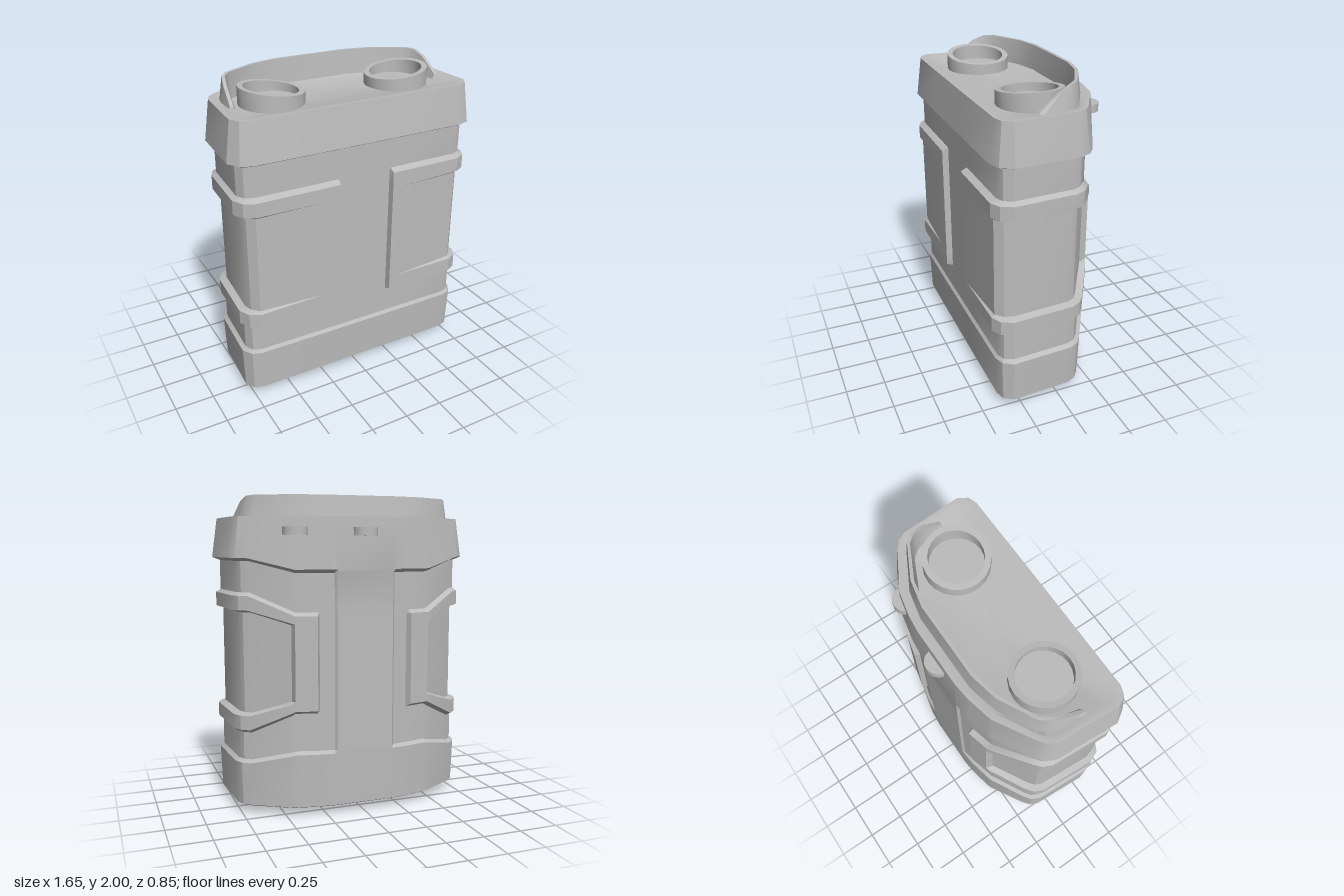
import * as THREE from 'three';
import { toCreasedNormals } from 'three/addons/utils/BufferGeometryUtils.js';

const grey = new THREE.MeshStandardMaterial({ color: 0xbcbcbc });
grey.name = 'grey';

function mesh(name, geometry, crease = 0.5) {
  const m = new THREE.Mesh(toCreasedNormals(geometry, crease), grey);
  m.name = name;
  return m;
}

// Skins rows of points; columns may wrap round, and first/last rows may be capped.
function loft(rows, wrap, capCentres) {
  const n = rows[0].length, pos = rows.flat(2), index = [];
  for (let j = 0; j < rows.length - 1; j++) {
    for (let i = 0; i < (wrap ? n : n - 1); i++) {
      const k = (i + 1) % n;
      const a = j * n + i, b = j * n + k, c = b + n, d = a + n;
      index.push(a, b, c, a, c, d);
    }
  }
  if (capCentres) {
    const base = pos.length / 3, last = (rows.length - 1) * n;
    pos.push(...capCentres[0], ...capCentres[1]);
    for (let i = 0; i < n; i++) {
      const k = (i + 1) % n;
      index.push(base, k, i, base + 1, last + i, last + k);
    }
  }
  const g = new THREE.BufferGeometry();
  g.setAttribute('position', new THREE.Float32BufferAttribute(pos, 3));
  g.setIndex(index);
  return g;
}

// Half plan from front to back: x, z, bend of the bands, then depth of neck, band and panel.
const halfPlan = (step) => [
  [step, 0.395, 0, -0.015, -0.015, -0.015],
  [step + 0.006, 0.395, 0, -0.015, 0.025, 0.025],
  [0.27, 0.395, 0, -0.015, 0.025, 0.025],
  [0.70, 0.393, 0, -0.015, 0.025, 0.005],
  [0.76, 0.372, 0, -0.02, 0.015, -0.025],
  [0.80, 0.31, 0, -0.025, 0.005, -0.04],
  [0.778, -0.08, 0, -0.025, 0.005, -0.04],
  [0.75, -0.14, 0, -0.025, 0.005, -0.04],
  [0.70, -0.18, 0, -0.025, 0.005, -0.04],
  [0.47, -0.315, 0.9, -0.025, 0.01, -0.03],
  [0.445, -0.322, 1, -0.025, 0.012, 0.012],
  [0.31, -0.352, 1, -0.02, 0.015, 0.015],
  [0.295, -0.355, 1, -0.02, -0.02, -0.02],
  [0.20, -0.365, 1, -0.014, -0.014, -0.014],
  [0.185, -0.366, 1, 0, 0, 0],
];
const mirror = (list) => list.map(([x, ...rest]) => [-x, ...rest]).reverse();
const plan = [...halfPlan(0.21), ...mirror(halfPlan(0.15))];

// Heights up the wall: at the sides, and where the bands bend at the back.
const levels = [
  [0.06, 0.06], [0.335, 0.40], [0.355, 0.42], [0.53, 0.66], [0.55, 0.68],
  [0.64, 0.73], [0.655, 0.745], [1.285, 1.205], [1.30, 1.22], [1.39, 1.27],
  [1.41, 1.29], [1.60, 1.53], [1.62, 1.55], [1.87, 1.87],
];

function bodyGeometry() {
  const n = plan.length;
  const normals = plan.map((p, i) => {
    const a = plan[(i + n - 1) % n], b = plan[(i + 1) % n];
    const u = new THREE.Vector2(p[0] - a[0], p[1] - a[1]).normalize();
    const v = new THREE.Vector2(b[0] - p[0], b[1] - p[1]).normalize();
    const t = u.add(v).normalize();
    return [-t.y, t.x];
  });
  const wall = levels.map(([side, back], j) => plan.map(([x, z, bend, neck, band, panel], i) => {
    const flare = 0.025 - 0.02 * bend;
    const depth = [-0.01, 0, neck, neck, band, band, panel, panel, band, band, neck, neck, flare, -0.01][j];
    return [x + normals[i][0] * depth, side + (back - side) * bend, z + normals[i][1] * depth];
  }));
  const inset = (d, y) => plan.map(([x, z]) =>
    [x * (1 - d / 0.8), y, 0.012 + (z - 0.012) * (1 - d / 0.385)]);
  return loft([
    inset(0.06, 0.08), inset(0.05, 0.05), inset(0.03, 0.05), ...wall,
    inset(0.05, 1.87), inset(0.12, 1.84),
  ], true, [[0, 0.08, 0], [0, 1.84, 0]]);
}

// Raised collar round the back of the top: x, z, height.
function collarGeometry() {
  const half = [
    [0.735, 0.13, 1.872], [0.72, 0, 1.965], [0.70, -0.08, 1.995], [0.655, -0.14, 2],
    [0.43, -0.262, 2], [0.25, -0.302, 2],
  ];
  const path = [...half, ...mirror(half)];
  const at = ([x, z], d, y) => [x * (1 - d / 0.7), y, z < 0 ? z * (1 - d / 0.31) : z];
  const rows = [
    path.map((p) => at(p, 0, 1.84)),
    path.map((p) => at(p, 0.022, p[2])),
    path.map((p) => at(p, 0.042, p[2])),
    path.map((p) => at(p, 0.055, 1.84)),
    path.map((p) => at(p, 0, 1.84)),
  ];
  return loft(rows, false);
}

const lathe = (points, sides = 22) =>
  new THREE.LatheGeometry(points.map(([x, y]) => new THREE.Vector2(x, y)), sides);

export function createModel() {
  const model = new THREE.Group();
  model.name = 'canister';
  model.add(mesh('body', bodyGeometry(), 0.45));

  const collar = mesh('collar', collarGeometry(), 0.45);
  model.add(collar);

  for (const side of [1, -1]) {
    // Top cup, its rim rising towards the outside
    const cup = lathe([[0.2, 1.82], [0.2, 1.93], [0.165, 1.93], [0.165, 1.86], [0, 1.86]]);
    const p = cup.attributes.position;
    for (let i = 0; i < p.count; i++) {
      if (p.getY(i) > 1.9) p.setY(i, p.getY(i) + p.getX(i) * side * 0.125);
    }
    const topCup = mesh(side > 0 ? 'leftTopCup' : 'rightTopCup', cup);
    topCup.position.set(0.43 * side, 0, 0.065);

    // Ring foot below
    const foot = mesh(side > 0 ? 'leftFoot' : 'rightFoot',
      lathe([[0, 0.05], [0.165, 0.05], [0.165, 0.02], [0.2, 0.02], [0.2, 0.09]]));
    foot.position.set(0.43 * side, 0, 0.065);
    model.add(topCup, foot);
  }

  // Hollow studs under the base
  const stud = mesh('frontStud', lathe([[0, 0.04], [0.045, 0.04], [0.045, 0], [0.083, 0], [0.083, 0.09]], 16));
  stud.position.z = 0.23;
  const smallStud = mesh('rearStud', lathe([[0, 0.06], [0.025, 0.06], [0.025, 0.042], [0.042, 0.042], [0.042, 0.09]], 12));
  smallStud.position.z = -0.18;
  model.add(stud, smallStud);

  // Round lugs on the back
  for (const [name, x, z] of [['centreLug', 0, -0.347], ['sideLug', 0.43, -0.292]]) {
    const lug = mesh(name, new THREE.CylinderGeometry(0.08, 0.08, 0.05, 18));
    lug.position.set(x, 1.78, z);
    model.add(lug);
  }
  return model;
}
